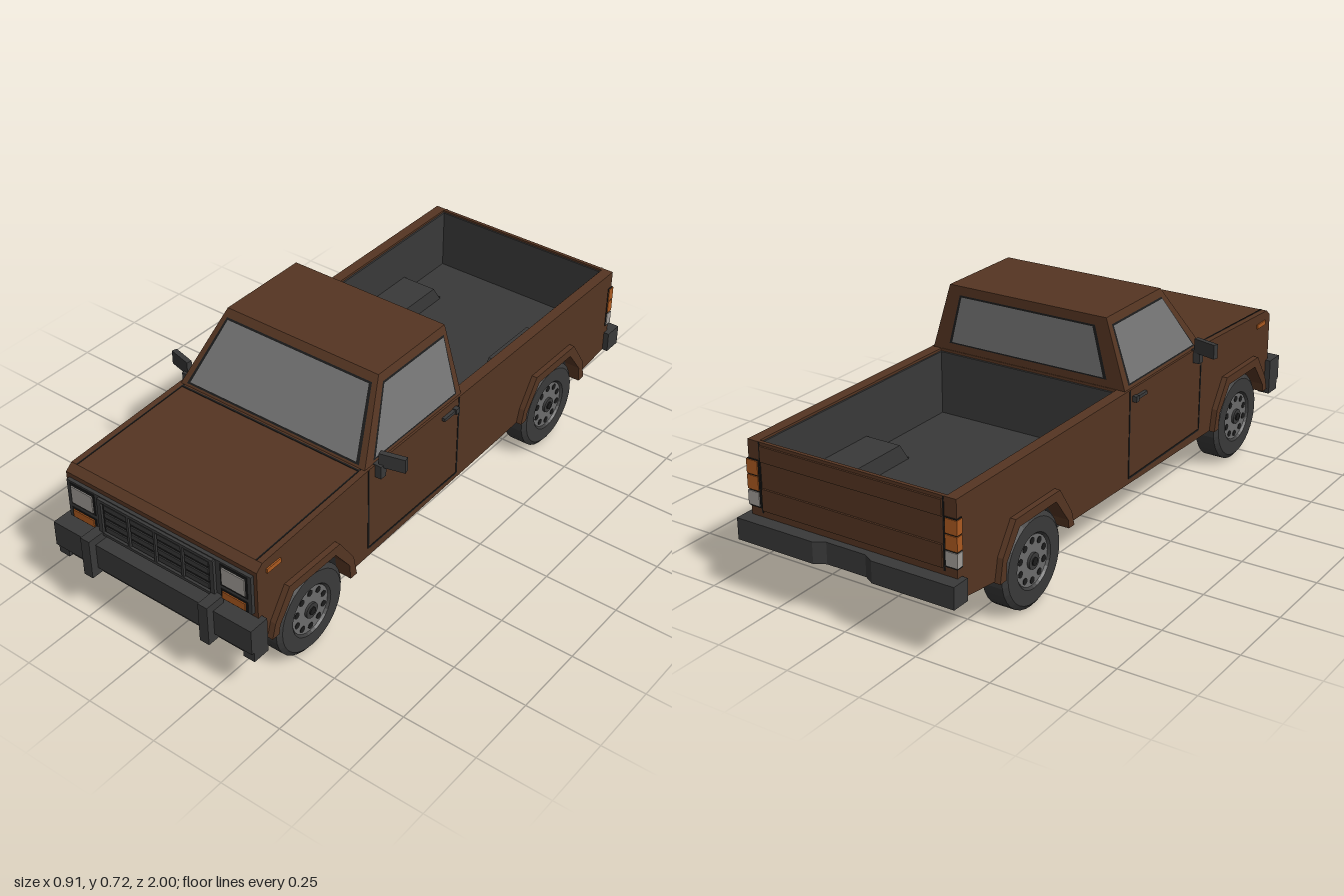
import * as THREE from 'three';

const mat = (name, color) => new THREE.MeshStandardMaterial({ name, color });

export function createModel() {
  const truck = new THREE.Group();
  truck.name = 'pickupTruck';
  const paint = mat('brownPaint', 0x553522);
  const trim = mat('darkTrim', 0x393939);
  const black = mat('blackRecess', 0x1c1c1c);
  const rubber = mat('tyreRubber', 0x3a3a3a);
  const glass = mat('greyGlass', 0x747474);
  const steel = mat('wheelSteel', 0x6c6c6c);
  const amber = mat('amberLens', 0xac5a20);
  const lens = mat('clearLens', 0xa39e99);

  const add = (name, geo, material, parent = truck) => {
    const m = new THREE.Mesh(geo, material);
    m.name = name;
    parent.add(m);
    return m;
  };
  // box given by its extents on each axis
  const box = (name, [x0, x1], [y0, y1], [z0, z1], material, parent) => {
    const g = new THREE.BoxGeometry(x1 - x0, y1 - y0, z1 - z0);
    g.translate((x0 + x1) / 2, (y0 + y1) / 2, (z0 + z1) / 2);
    return add(name, g, material, parent);
  };
  const mirrored = (name, x, ...rest) => {
    box(name + 'Left', x, ...rest);
    box(name + 'Right', [-x[1], -x[0]], ...rest);
  };
  // side profile of [z, y] points, extruded from x0 to x1
  const profile = (name, pts, x0, x1, material) => {
    const s = new THREE.Shape(pts.map(p => new THREE.Vector2(...p)));
    const g = new THREE.ExtrudeGeometry(s, { depth: x1 - x0, bevelEnabled: false });
    g.rotateY(-Math.PI / 2).translate(x1, 0, 0);
    return add(name, g, material);
  };
  const bothSides = (name, pts, x0, x1, material) => {
    profile(name + 'Left', pts, x0, x1, material);
    profile(name + 'Right', pts, -x1, -x0, material);
  };

  // wheel arch outlines, running from the rear foot to the front foot
  const axles = [0.69, -0.585];
  const arch = z => [[z - 0.165, 0.165], [z - 0.16, 0.22], [z - 0.095, 0.305],
    [z + 0.095, 0.305], [z + 0.16, 0.22], [z + 0.165, 0.19]];
  const archOuter = z => [[z - 0.195, 0.165], [z - 0.18, 0.24], [z - 0.115, 0.335],
    [z + 0.115, 0.335], [z + 0.18, 0.24], [z + 0.195, 0.19]];

  // full-length body sides with arch cut-outs
  bothSides('bodySide', [[-0.955, 0.19], ...arch(axles[1]), ...arch(axles[0]),
    [0.92, 0.2], [0.92, 0.455], [0.895, 0.475], [0.42, 0.497], [-0.955, 0.495]], 0.33, 0.367, paint);
  // bonnet, front panel and cab base
  profile('bonnetAndCabBase', [[-0.065, 0.31], [0.87, 0.31], [0.87, 0.2], [0.92, 0.2],
    [0.92, 0.455], [0.895, 0.475], [0.42, 0.497], [-0.065, 0.497]], -0.33, 0.33, paint);
  for (const z of axles) {
    bothSides('fenderFlare', [...archOuter(z), ...arch(z).reverse()], 0.36, 0.386, paint);
    bothSides('wheelWell', [...archOuter(z), ...arch(z).reverse()], 0.2, 0.332, trim);
    bothSides('wheelWellWall', archOuter(z), 0.195, 0.2, trim);
  }

  // underbody and load bed
  box('underbody', [-0.2, 0.2], [0.175, 0.275], [-0.94, 0.9], trim);
  for (const z of [[0.856, 0.9], [-0.42, 0.525], [-0.94, -0.75]])
    mirrored('sill', [0.2, 0.332], [0.17, 0.275], z, trim);
  mirrored('bedLiner', [0.324, 0.331], [0.27, 0.488], [-0.942, -0.066], trim);
  box('bedFrontWall', [-0.33, 0.33], [0.27, 0.488], [-0.072, -0.064], trim);
  box('bedRearLiner', [-0.33, 0.33], [0.27, 0.488], [-0.944, -0.938], trim);
  box('tailgate', [-0.331, 0.331], [0.19, 0.495], [-0.955, -0.943], paint);
  box('tailgateUpperRib', [-0.32, 0.32], [0.435, 0.485], [-0.961, -0.954], paint);
  box('tailgateLowerRib', [-0.32, 0.32], [0.28, 0.35], [-0.961, -0.954], paint);
  mirrored('tailgateSeam', [0.322, 0.326], [0.27, 0.495], [-0.957, -0.954], black);

  // cab greenhouse: tapered loops from beltline to roof
  const cab = new THREE.Group();
  cab.name = 'cab';
  truck.add(cab);
  const V = (x, y, z) => new THREE.Vector3(x, y, z);
  const low = [V(-0.36, 0.495, 0.425), V(0.36, 0.495, 0.425), V(0.36, 0.495, -0.063), V(-0.36, 0.495, -0.063)];
  const high = [V(-0.29, 0.722, 0.268), V(0.29, 0.722, 0.268), V(0.29, 0.722, -0.063), V(-0.29, 0.722, -0.063)];
  const quad = (name, c, material) => {
    const g = new THREE.BufferGeometry().setFromPoints([c[0], c[1], c[2], c[0], c[2], c[3]]);
    g.computeVertexNormals();
    return add(name, g, material, cab);
  };
  // plate lying on a quad between the given fractions, lifted by d
  const plate = (name, c, [u0, u1], [v0, v1], d, material) => {
    const n = c[1].clone().sub(c[0]).cross(c[3].clone().sub(c[0])).normalize();
    const at = (u, v) => c[0].clone().lerp(c[1], u)
      .lerp(c[3].clone().lerp(c[2], u), v).addScaledVector(n, d);
    quad(name, [at(u0, v0), at(u1, v0), at(u1, v1), at(u0, v1)], material);
  };
  quad('roof', high, paint);
  const windows = [
    ['windscreen', [0.03, 0.97], [0.035, 0.9]],
    ['leftWindow', [0.075, 0.95], [0.05, 0.89]],
    ['rearWindow', [0.08, 0.92], [0.12, 0.87]],
    ['rightWindow', [0.05, 0.925], [0.05, 0.89]],
  ];
  windows.forEach(([name, u, v], i) => {
    const j = (i + 1) % 4;
    const c = [low[i], low[j], high[j], high[i]];
    quad(name + 'Frame', c, paint);
    plate(name + 'Seal', c, u, v, 0.002, black);
    plate(name, c, [u[0] + 0.015, u[1] - 0.015], [v[0] + 0.025, v[1] - 0.025], 0.004, glass);
  });

  // doors: seams, handles, mirrors
  for (const z of [0.415, -0.043]) mirrored('doorSeam', [0.366, 0.3685], [0.2, 0.495], [z - 0.003, z + 0.003], black);
  mirrored('doorBottomSeam', [0.366, 0.3685], [0.197, 0.203], [-0.043, 0.415], black);
  mirrored('doorHandle', [0.366, 0.378], [0.457, 0.468], [-0.025, 0.045], trim);
  mirrored('handleCatch', [0.366, 0.382], [0.453, 0.472], [-0.028, -0.01], trim);
  mirrored('mirrorStalk', [0.36, 0.39], [0.455, 0.5], [0.36, 0.385], trim);
  for (const s of [-1, 1]) {
    const m = add('mirror', new THREE.BoxGeometry(0.085, 0.048, 0.018), trim);
    m.position.set(s * 0.413, 0.515, 0.358);
    m.rotation.y = s * 0.25;
    // bonnet seam following the slope
    const seam = add('bonnetSeam', new THREE.BoxGeometry(0.004, 0.003, 0.47), black);
    seam.position.set(s * 0.345, 0.486, 0.66);
    seam.rotation.x = 0.046;
  }
  box('cowlSeam', [-0.345, 0.345], [0.494, 0.498], [0.43, 0.437], black);

  // nose: grille and lamps
  box('nosePanel', [-0.355, 0.355], [0.303, 0.44], [0.915, 0.932], trim);
  box('grilleRecess', [-0.212, 0.212], [0.315, 0.427], [0.932, 0.934], black);
  for (let col = 0; col < 4; col++) {
    const x = -0.157 + col * 0.1047;
    for (let row = 0; row < 4; row++) {
      const y = 0.329 + row * 0.0275;
      box('grilleBar', [x - 0.045, x + 0.045], [y - 0.009, y + 0.009], [0.932, 0.938], trim);
    }
  }
  for (const x of [-0.105, 0, 0.105])
    box('grillePost', [x - 0.004, x + 0.004], [0.312, 0.43], [0.932, 0.942], trim);
  mirrored('grilleEdge', [0.21, 0.225], [0.306, 0.436], [0.93, 0.942], trim);
  for (const y of [0.309, 0.432]) box('grilleRail', [-0.22, 0.22], [y - 0.005, y + 0.005], [0.93, 0.942], trim);
  mirrored('headlampBezel', [0.243, 0.342], [0.355, 0.434], [0.931, 0.934], black);
  mirrored('headlamp', [0.25, 0.335], [0.364, 0.425], [0.932, 0.938], lens);
  mirrored('indicatorBezel', [0.243, 0.342], [0.306, 0.342], [0.931, 0.934], black);
  mirrored('indicator', [0.25, 0.335], [0.311, 0.337], [0.932, 0.938], amber);
  mirrored('sideMarker', [0.365, 0.372], [0.43, 0.445], [0.82, 0.88], amber);

  // tail lamps wrapping the rear corners
  mirrored('tailLampSurround', [0.328, 0.3695], [0.285, 0.437], [-0.958, -0.934], black);
  for (const [i, y] of [0.29, 0.34, 0.389].entries())
    mirrored('tailLamp', [0.331, 0.372], [y, y + 0.045], [-0.961, -0.936], i ? amber : lens);

  // front bumper with overriders
  box('frontBumper', [-0.386, 0.386], [0.2, 0.288], [0.905, 0.975], trim);
  box('frontBumperLip', [-0.37, 0.37], [0.17, 0.2], [0.9, 0.955], trim);
  mirrored('frontBumperEnd', [0.345, 0.386], [0.165, 0.2], [0.905, 0.965], trim);
  mirrored('overrider', [0.212, 0.247], [0.175, 0.315], [0.93, 1], trim);

  // rear bumper with a central step, drawn in plan
  const plan = [[-0.386, 0.935], [0.386, 0.935], [0.386, 1], [0.105, 1], [0.07, 0.98],
    [-0.07, 0.98], [-0.105, 1], [-0.386, 1]];
  const bumper = new THREE.ExtrudeGeometry(new THREE.Shape(plan.map(p => new THREE.Vector2(...p))),
    { depth: 0.07, bevelEnabled: false });
  add('rearBumper', bumper.rotateX(-Math.PI / 2).translate(0, 0.187, 0), trim);

  // wheels and axles
  const tyre = [[0.08, 0.035], [0.088, 0.045], [0.135, 0.045], [0.15, 0.034], [0.15, -0.034],
    [0.135, -0.045], [0, -0.045]].map(p => new THREE.Vector2(...p)).reverse();
  const disc = (name, r, h, y, material, parent, x = 0, z = 0) =>
    add(name, new THREE.CylinderGeometry(r, r, h, 24).translate(x, y, z), material, parent);
  for (const z of axles) {
    const bar = add('axle', new THREE.CylinderGeometry(0.018, 0.018, 0.57, 12), trim);
    bar.rotation.z = Math.PI / 2;
    bar.position.set(0, 0.148, z);
    for (const s of [-1, 1]) {
      const wheel = new THREE.Group();
      wheel.name = 'wheel';
      wheel.position.set(s * 0.326, 0.15, z);
      wheel.rotation.z = -s * Math.PI / 2;
      truck.add(wheel);
      add('tyre', new THREE.LatheGeometry(tyre, 32).toNonIndexed(), rubber, wheel).geometry.computeVertexNormals();
      disc('rim', 0.081, 0.02, 0.028, steel, wheel);
      disc('hub', 0.026, 0.02, 0.036, trim, wheel);
      disc('hubCap', 0.013, 0.02, 0.04, black, wheel);
      for (let i = 0; i < 10; i++) {
        const a = i * Math.PI / 5;
        disc('rimHole', 0.011, 0.003, 0.038, black, wheel, 0.064 * Math.cos(a), 0.064 * Math.sin(a));
      }
    }
  }
  return truck;
}
